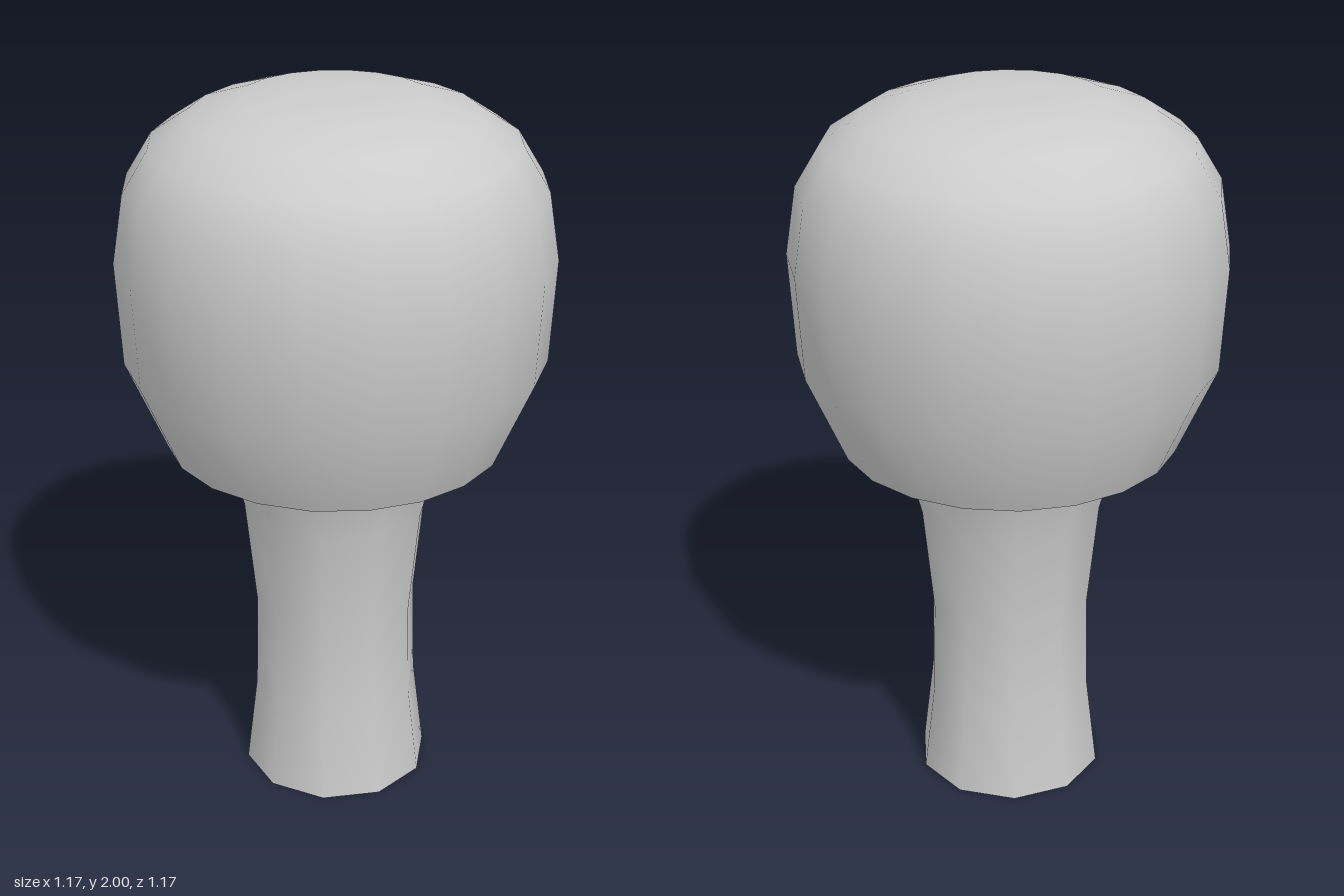
import * as THREE from 'three';

const grey = new THREE.MeshStandardMaterial({ color: 0xcccccc, side: THREE.DoubleSide });

// Surface of revolution from [radius, height] pairs, listed bottom to top
function lathe(name, profile, sides, start = 0) {
  const points = profile.map(([r, y]) => new THREE.Vector2(r, y));
  const mesh = new THREE.Mesh(new THREE.LatheGeometry(points, sides, start), grey);
  mesh.name = name;
  return mesh;
}

// Flat disc facing down
function discDown(name, radius, y, sides) {
  const geometry = new THREE.CircleGeometry(radius, sides).rotateX(Math.PI / 2);
  const mesh = new THREE.Mesh(geometry, grey);
  mesh.name = name;
  mesh.position.y = y;
  return mesh;
}

export function createModel() {
  const mushroom = new THREE.Group();
  mushroom.name = 'mushroom';

  // Domed cap, open at the rim
  mushroom.add(lathe('cap', [
    [0.463, 1.04], [0.57, 1.29], [0.585, 1.575], [0.555, 1.76],
    [0.485, 1.875], [0.38, 1.945], [0.25, 1.988], [0.12, 2], [0, 2],
  ], 20));

  // Shallow recess under the cap
  mushroom.add(discDown('capUnderside', 0.505, 1.14, 20));

  // Ten-sided stem, flaring into the underside
  mushroom.add(lathe('stem', [
    [0.263, 0], [0.232, 0.26], [0.226, 0.53], [0.257, 0.84],
    [0.31, 1.04], [0.345, 1.1], [0.47, 1.138],
  ], 10, Math.PI / 2));
  mushroom.add(discDown('stemBase', 0.263, 0, 10));

  return mushroom;
}
